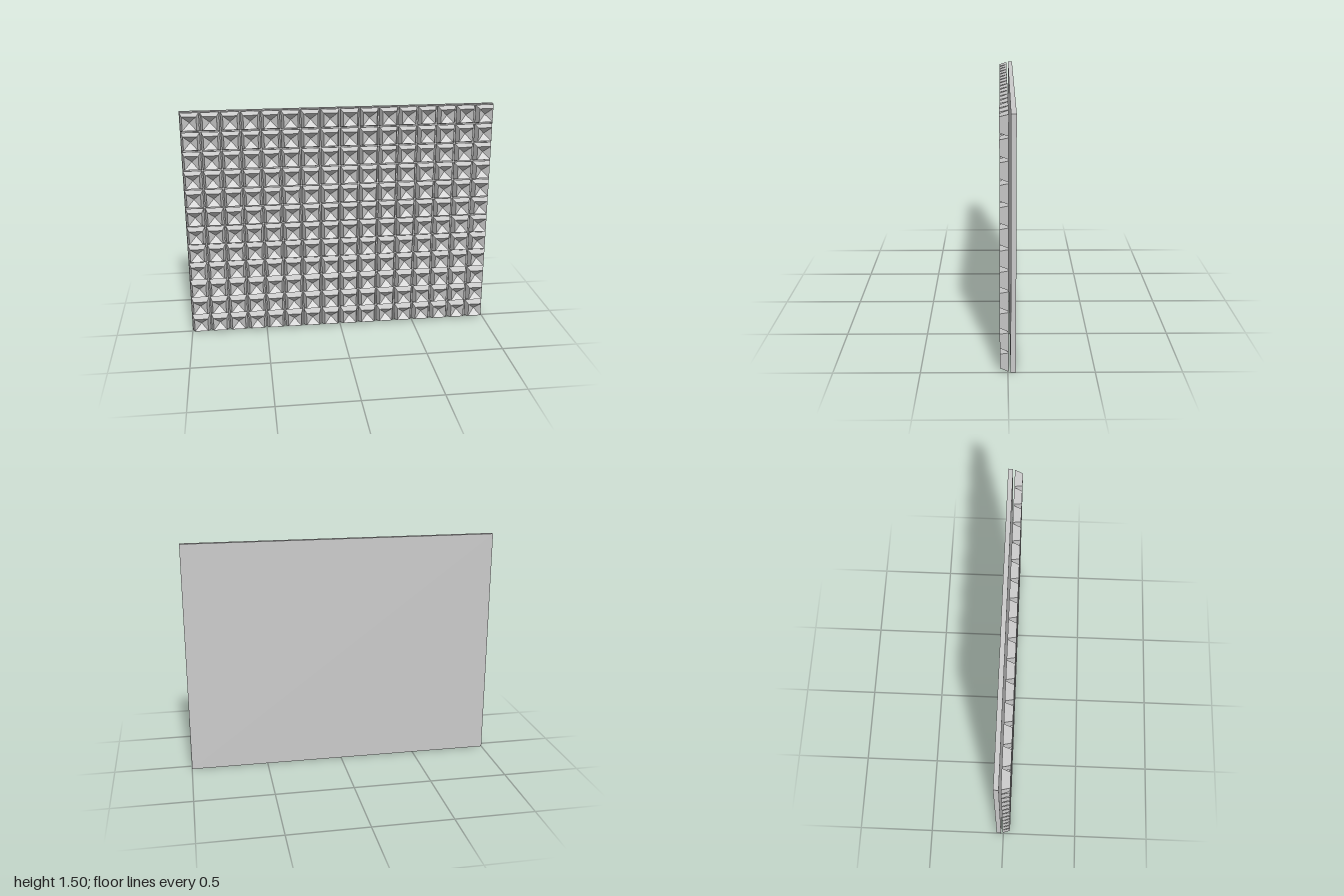
import * as THREE from 'three';

const COLS = 16, ROWS = 12, PITCH = 0.125;
const BASE = 0.118, FACE = 0.088;        // tile widths at back and front
const FRONT = 0.046, TILE_DEPTH = 0.05, RECESS = 0.036;
const BOARD_DEPTH = 0.03;

// Square tapered block whose front is hollowed into an inverted pyramid
function tileGeometry() {
  const corner = Math.SQRT1_2;           // half width to corner radius
  const profile = [
    [0, 0],
    [BASE * corner, 0],
    [FACE * corner, TILE_DEPTH],
    [0, TILE_DEPTH - RECESS],
  ].map(([r, y]) => new THREE.Vector2(r, y));
  const geometry = new THREE.LatheGeometry(profile, 4, Math.PI / 4);
  geometry.rotateX(Math.PI / 2);         // axis now points to the front
  return geometry;
}

export function createModel() {
  const model = new THREE.Group();
  model.name = 'studdedPanel';
  const material = new THREE.MeshStandardMaterial({ color: 0xcccccc, flatShading: true });

  // Flat backing board
  const board = new THREE.Mesh(
    new THREE.BoxGeometry(COLS * PITCH, ROWS * PITCH, BOARD_DEPTH), material);
  board.name = 'backBoard';
  board.position.set(0, ROWS * PITCH / 2, -FRONT + BOARD_DEPTH / 2);
  model.add(board);

  // Grid of tiles, standing just clear of the board
  const tiles = new THREE.Group();
  tiles.name = 'tiles';
  const geometry = tileGeometry();
  for (let row = 0; row < ROWS; row++) {
    for (let col = 0; col < COLS; col++) {
      const tile = new THREE.Mesh(geometry, material);
      tile.name = 'tile';
      tile.position.set(
        (col - (COLS - 1) / 2) * PITCH,
        (row + 0.5) * PITCH,
        FRONT - TILE_DEPTH);
      tiles.add(tile);
    }
  }
  model.add(tiles);
  return model;
}
